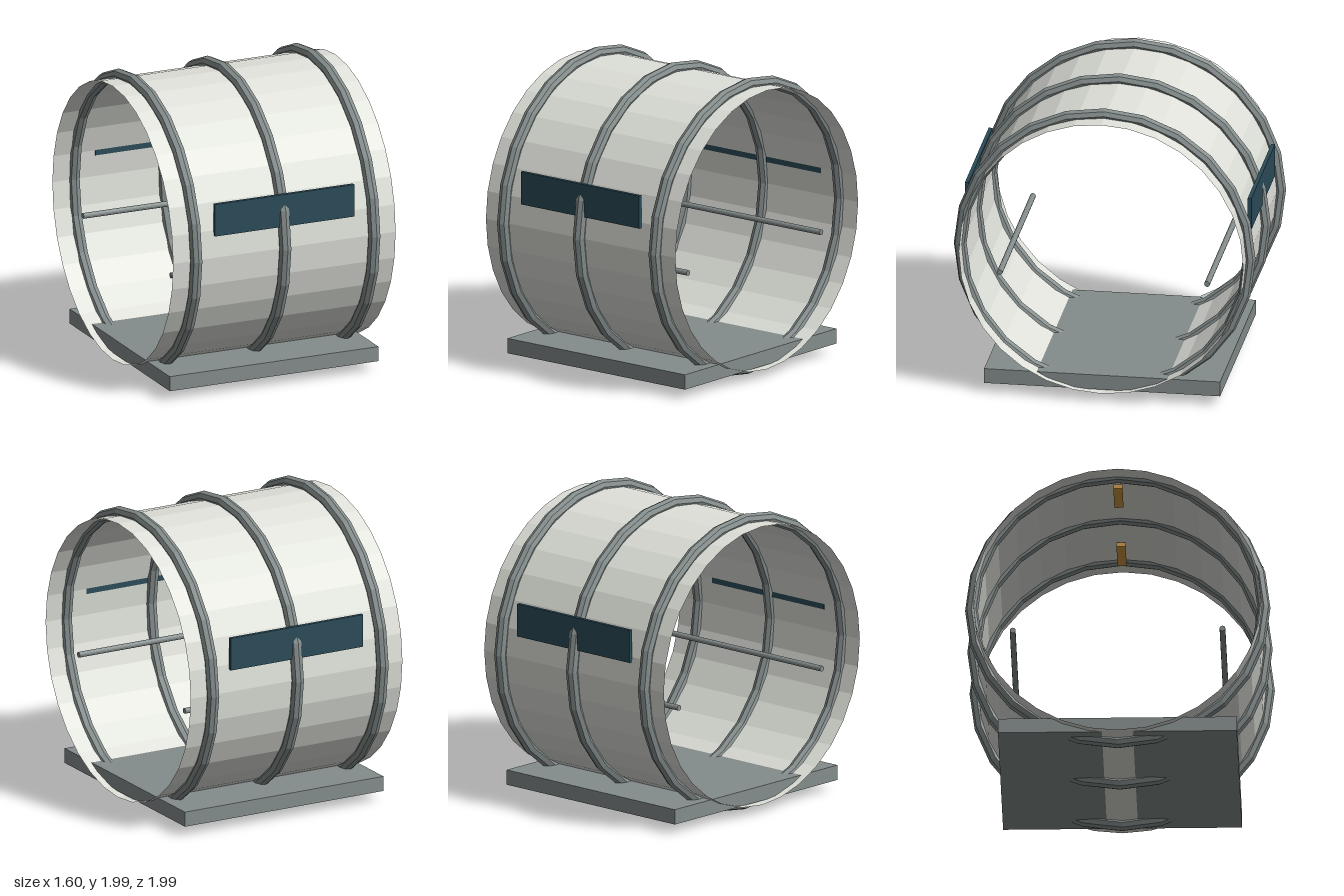
import * as THREE from 'three';

const mat = (name, color, extra = {}) =>
  Object.assign(new THREE.MeshStandardMaterial({ color, flatShading: true, ...extra }), { name });

export function createModel() {
  const shellPaint = mat('shell off-white', 0xdfe1da, { side: THREE.DoubleSide });
  const metal = mat('grey metal', 0x848d8c);
  const glass = mat('dark teal glass', 0x2b4c59);
  const amber = mat('amber lamp', 0xd09a45);

  const model = new THREE.Group();
  model.name = 'habitatModule';
  const add = (name, geometry, material, x, y, z) => {
    const mesh = new THREE.Mesh(geometry, material);
    mesh.name = name;
    mesh.position.set(x, y, z);
    model.add(mesh);
  };

  // Open tube lying along x
  const shell = new THREE.CylinderGeometry(0.94, 0.94, 1.6, 32, 1, true).rotateZ(Math.PI / 2);
  add('shell', shell, shellPaint, 0, 1, 0);

  // Reinforcing hoops
  const hoop = new THREE.TorusGeometry(0.955, 0.042, 8, 24).rotateY(Math.PI / 2);
  for (const x of [-0.64, 0, 0.64]) add('hoop', hoop, metal, x, 1, 0);

  // Floor plate
  add('floor', new THREE.BoxGeometry(1.5, 0.1, 1.56), metal, 0, 0.12, 0);

  // Windows and inner handrails on both sides
  const pane = new THREE.BoxGeometry(1, 0.22, 0.025);
  const rail = new THREE.CylinderGeometry(0.019, 0.019, 1.4, 12).rotateZ(Math.PI / 2);
  for (const side of [-1, 1]) {
    add('window', pane, glass, 0, 1.258, side * 0.934);
    add('handrail', rail, metal, 0, 0.83, side * 0.685);
  }

  // Ceiling lamps
  const lamp = new THREE.BoxGeometry(0.3, 0.028, 0.06);
  for (const x of [-0.45, 0.45]) add('ceilingLamp', lamp, amber, x, 1.906, 0);

  return model;
}
